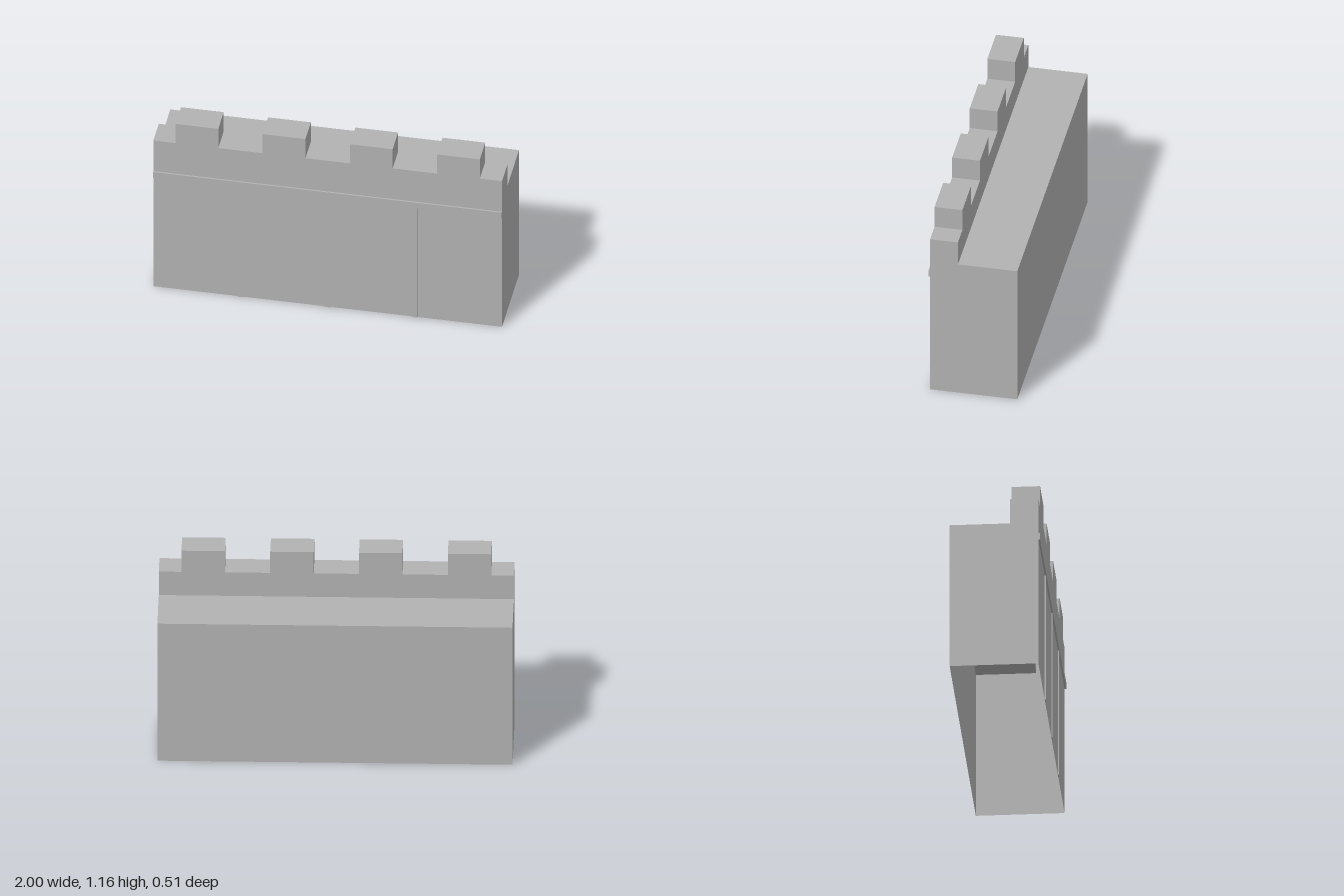
import * as THREE from 'three';

const FRONT = 0.246, INNER = 0.086, BACK = -0.255;   // z planes of the wall
const WALK = 0.875, CREST = 1.025, TOP = 1.16;       // heights
const MERLON = 0.245;

// Flat-shaded surface from four-cornered faces, corners counter-clockwise from outside
function quads(faces) {
  const positions = [];
  for (const [a, b, c, d] of faces) positions.push(...a, ...b, ...c, ...a, ...c, ...d);
  const geometry = new THREE.BufferGeometry();
  geometry.setAttribute('position', new THREE.Float32BufferAttribute(positions, 3));
  geometry.computeVertexNormals();
  return geometry;
}

export function createModel() {
  const stone = new THREE.MeshStandardMaterial({ color: 0xb2b2b2, side: THREE.DoubleSide });
  stone.name = 'grey stone';

  const model = new THREE.Group();
  model.name = 'battlementWall';
  const add = (name, geometry, x = 0, y = 0, z = 0) => {
    const mesh = new THREE.Mesh(geometry, stone);
    mesh.name = name;
    mesh.position.set(x, y, z);
    model.add(mesh);
  };

  // Battlement outline, left to right
  const crest = [[-1, CREST]];
  for (const x of [-0.75, -0.25, 0.25, 0.75]) {
    const l = x - MERLON / 2, r = x + MERLON / 2;
    crest.push([l, CREST], [l, TOP], [r, TOP], [r, CREST]);
  }
  crest.push([1, CREST]);
  const face = (bottom) => new THREE.ShapeGeometry(new THREE.Shape(
    [[-1, bottom], [1, bottom], ...[...crest].reverse()].map(([x, y]) => new THREE.Vector2(x, y))));

  // Hollow shell, open underneath
  add('frontFace', face(0), 0, 0, FRONT);
  add('parapetBack', face(WALK).rotateY(Math.PI), 0, 0, INNER);
  add('battlementTop', quads(crest.slice(1).map(([x1, y1], i) => {
    const [x0, y0] = crest[i];
    return [[x0, y0, FRONT], [x1, y1, FRONT], [x1, y1, INNER], [x0, y0, INNER]];
  })));
  add('walkway', quads([[[-1, WALK, INNER], [1, WALK, INNER], [1, WALK, BACK], [-1, WALK, BACK]]]));
  add('backFace', quads([[[1, 0, BACK], [-1, 0, BACK], [-1, WALK, BACK], [1, WALK, BACK]]]));

  // End faces: tall body plus the parapet end
  for (const s of [1, -1]) {
    const panel = (z0, z1, y0, y1) => {
      const corners = [[s, y0, z0], [s, y0, z1], [s, y1, z1], [s, y1, z0]];
      return s > 0 ? corners : corners.reverse();
    };
    add(s > 0 ? 'leftEnd' : 'rightEnd',
      quads([panel(FRONT, BACK, 0, WALK), panel(FRONT, INNER, WALK, CREST)]));
  }

  // Raised trim on the front
  add('stringCourse', new THREE.BoxGeometry(2, 0.04, 0.01), 0, 0.79, FRONT + 0.005);
  for (const x of [-0.5, 0, 0.5])
    add('pilaster', new THREE.BoxGeometry(0.034, 0.77, 0.006), x, 0.385, FRONT + 0.003);

  return model;
}
